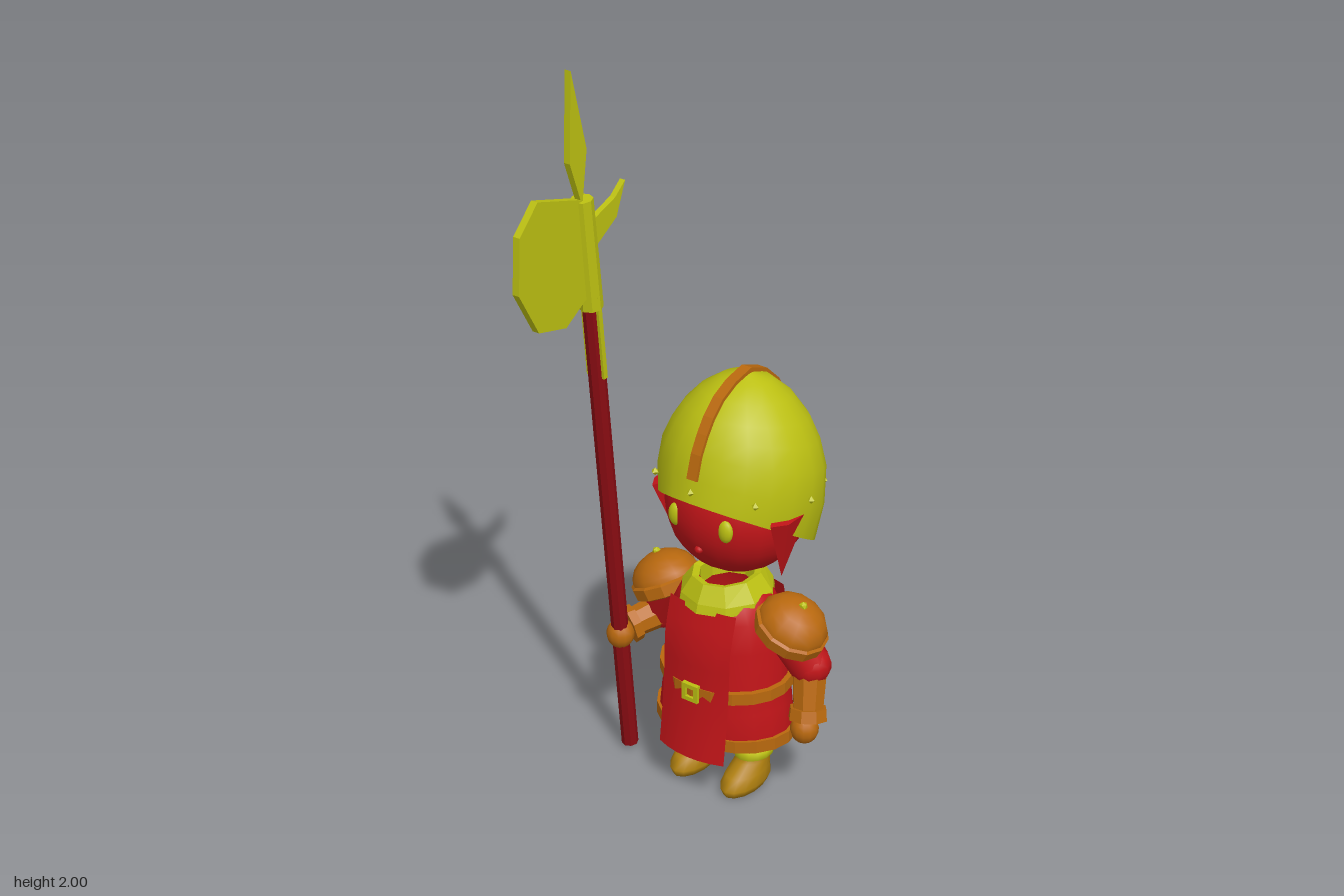
import * as THREE from 'three';

const RED = 0xc01418, DARK_RED = 0x8a0c12, ORANGE = 0xb8680e, YELLOW = 0xbcc012, TAN = 0xb0800f;
const V = (x, y, z) => new THREE.Vector3(x, y, z);

function mesh(parent, name, geo, color, flat = false) {
  const m = new THREE.Mesh(geo, new THREE.MeshStandardMaterial({ color, flatShading: flat, side: THREE.DoubleSide }));
  m.name = name;
  parent.add(m);
  return m;
}

// Skin over elliptical rings [y or y(angle), rx, rz, centreZ], bottom to top
function loft(rings, seg = 16) {
  const pos = [], idx = [];
  for (const [y, rx, rz, cz = -0.1] of rings) {
    for (let j = 0; j < seg; j++) {
      const a = (j / seg) * Math.PI * 2;
      pos.push(rx * Math.sin(a), typeof y === 'function' ? y(a) : y, cz + rz * Math.cos(a));
    }
  }
  for (let i = 0; i < rings.length - 1; i++) {
    for (let j = 0; j < seg; j++) {
      const a = i * seg + j, b = i * seg + (j + 1) % seg;
      idx.push(a, b, b + seg, a, b + seg, a + seg);
    }
  }
  const g = new THREE.BufferGeometry();
  g.setAttribute('position', new THREE.Float32BufferAttribute(pos, 3));
  g.setIndex(idx);
  g.computeVertexNormals();
  return g;
}

// Tapered cylinder from a to b
function limb(parent, name, a, b, r1, r2, color, sides = 10, flat = false) {
  const d = b.clone().sub(a);
  const m = mesh(parent, name, new THREE.CylinderGeometry(r2, r1, d.length(), sides), color, flat);
  m.position.copy(a).add(b).multiplyScalar(0.5);
  m.quaternion.setFromUnitVectors(V(0, 1, 0), d.normalize());
}

function ball(parent, name, p, r, color, s = [1, 1, 1], seg = 12) {
  const m = mesh(parent, name, new THREE.SphereGeometry(r, seg, Math.ceil(seg * 0.7)), color);
  m.position.copy(p);
  m.scale.set(...s);
}

// Flat plate drawn as (z, y) points, with its thickness along x
function plate(points, thick) {
  const g = new THREE.ExtrudeGeometry(new THREE.Shape(points.map(p => new THREE.Vector2(...p))), { depth: thick, bevelEnabled: false });
  return g.translate(0, 0, -thick / 2).rotateY(-Math.PI / 2);
}

// Curved cloth panel following the body, side = 1 front or -1 back
function panel(side) {
  const g = new THREE.PlaneGeometry(0.21, 0.43, 6, 8), p = g.attributes.position;
  const depth = new THREE.CatmullRomCurve3([V(0.18, 0, 0), V(0.165, 0, 0), V(0.155, 0, 0), V(0.15, 0, 0), V(0.12, 0, 0)]);
  for (let i = 0; i < p.count; i++) {
    const x = p.getX(i), t = THREE.MathUtils.clamp(p.getY(i) / 0.43 + 0.5, 0, 1);
    p.setXYZ(i, x, 0.135 + 0.43 * t, -0.1 + side * depth.getPoint(t).x * Math.sqrt(1 - (x / 0.22) ** 2));
  }
  // Keep the back panel facing outwards
  if (side < 0) g.index.array.reverse();
  g.computeVertexNormals();
  return g;
}

// Helmet rings [height fraction, rx, rz, centreZ]; the rim slopes down to the back
const HELMET = [[0, 0.203, 0.202, -0.14], [0.22, 0.219, 0.208, -0.158], [0.44, 0.214, 0.203, -0.172], [0.6, 0.192, 0.184, -0.178],
  [0.73, 0.162, 0.16, -0.18], [0.86, 0.118, 0.118, -0.178], [0.95, 0.066, 0.066, -0.178], [1, 0.001, 0.001, -0.178]];
const helmetY = (s, a) => (1 - s) * (0.767 + 0.122 * Math.cos(a)) + s * 1.17;

function buildHelmet(g) {
  mesh(g, 'helmet', loft(HELMET.map(([s, ...r]) => [a => helmetY(s, a), ...r]), 20), YELLOW);
  // Raised crest from brow to back
  const front = HELMET.slice(1, 7).map(([s, , rz, cz]) => [cz + rz, helmetY(s, 0)]);
  const back = HELMET.slice(2, 7).reverse().map(([s, , rz, cz]) => [cz - rz, helmetY(s, Math.PI)]);
  const line = [...front, [-0.178, 1.17], ...back];
  const grow = k => line.map(([z, y]) => [-0.16 + (z + 0.16) * k, 0.85 + (y - 0.85) * k]);
  mesh(g, 'helmetCrest', plate([...grow(1.03), ...grow(0.97).reverse()], 0.03), ORANGE, true);
  for (const [x, y, z] of [[0, 0.92, 0.06], [0.157, 0.905, 0], [0.223, 0.88, -0.15], [0.157, 0.85, -0.305]]) {
    for (const s of x ? [1, -1] : [1]) {
      mesh(g, 'helmetRivet', new THREE.OctahedronGeometry(0.011), YELLOW, true).position.set(s * x, y, z);
    }
  }
}

function buildHead(g) {
  ball(g, 'head', V(0, 0.815, -0.14), 0.19, RED, [1, 1, 0.95], 20);
  ball(g, 'nose', V(0, 0.74, 0.024), 0.012, RED, [1, 1, 1], 8);
  for (const s of [1, -1]) {
    ball(g, 'eye', V(s * 0.078, 0.815, 0.017), 0.022, YELLOW, [1, 1.45, 0.7]);
    // Hair lock hanging out of the helmet
    const lock = mesh(g, 'hairLock', new THREE.ConeGeometry(0.085, 0.19, 6), RED, true);
    lock.scale.x = 0.35;
    lock.rotation.set(Math.PI, 0, s * 0.12);
    lock.position.set(s * 0.175, 0.75, -0.11);
  }
}

function buildBody(g) {
  mesh(g, 'tunic', loft([[0.17, 0.001, 0.001], [0.165, 0.19, 0.145], [0.2, 0.193, 0.152], [0.27, 0.185, 0.148], [0.33, 0.174, 0.143],
    [0.45, 0.168, 0.138], [0.53, 0.15, 0.125], [0.58, 0.12, 0.11], [0.62, 0.07, 0.08]], 20), RED);
  const band = (name, y0, y1, rx, rz, color) => mesh(g, name,
    loft([[y0, rx - 0.015, rz - 0.015], [y0, rx, rz], [y1, rx, rz], [y1, rx - 0.015, rz - 0.015]], 20), color, true);
  band('hemTrim', 0.165, 0.2, 0.203, 0.157, ORANGE);
  band('belt', 0.312, 0.345, 0.188, 0.16, ORANGE);
  mesh(g, 'frontTabard', panel(1), RED);
  mesh(g, 'backTabard', panel(-1), RED);
  mesh(g, 'collar', loft([[0.555, 0.125, 0.137], [0.58, 0.122, 0.13], [0.627, 0.088, 0.105], [0.622, 0.07, 0.085], [0.57, 0.07, 0.08]], 10), YELLOW, true);

  // Buckle frame with a square opening
  const square = r => [[-r, -r], [r, -r], [r, r], [-r, r]].map(p => new THREE.Vector2(...p));
  const frame = new THREE.Shape(square(0.025));
  frame.holes.push(new THREE.Path(square(0.013)));
  mesh(g, 'buckle', new THREE.ExtrudeGeometry(frame, { depth: 0.014, bevelEnabled: false }), YELLOW, true).position.set(0, 0.328, 0.053);

  // Small strap at the back of the belt
  const strap = mesh(g, 'beltStrap', new THREE.BoxGeometry(0.03, 0.1, 0.02), ORANGE, true);
  strap.position.set(-0.13, 0.285, -0.222);
  strap.rotation.y = 0.6;
}

function buildLegs(g) {
  for (const s of [1, -1]) {
    const leg = new THREE.Group();
    leg.name = s > 0 ? 'leftLeg' : 'rightLeg';
    leg.position.x = s * 0.084;
    g.add(leg);
    limb(leg, 'thigh', V(0, 0.1, -0.11), V(0, 0.22, -0.11), 0.045, 0.05, RED);
    mesh(leg, 'boot', loft([[0, 0.001, 0.001, -0.072], [0.001, 0.043, 0.085, -0.072], [0.022, 0.052, 0.093, -0.072],
      [0.05, 0.047, 0.079, -0.082], [0.075, 0.042, 0.056, -0.105], [0.1, 0.043, 0.053, -0.11],
      [0.128, 0.05, 0.058, -0.112], [0.126, 0.04, 0.045, -0.112]], 14), TAN);
    mesh(leg, 'bootStrap', loft([[0.085, 0.044, 0.055, -0.11], [0.088, 0.051, 0.061, -0.11], [0.106, 0.052, 0.061, -0.11],
      [0.109, 0.044, 0.055, -0.11]], 14), YELLOW);
  }
}

function buildArm(g, s, elbow, wrist, hand) {
  const arm = new THREE.Group();
  arm.name = s > 0 ? 'leftArm' : 'rightArm';
  g.add(arm);
  const shoulder = V(s * 0.165, 0.53, -0.105);
  limb(arm, 'upperSleeve', shoulder, elbow, 0.06, 0.056, RED);
  ball(arm, 'elbow', elbow, 0.056, RED);
  const along = t => elbow.clone().lerp(wrist, t);
  limb(arm, 'bracer', along(0.1), wrist, 0.047, 0.04, ORANGE, 8, true);
  limb(arm, 'bracerRim', along(0.82), along(1.05), 0.05, 0.053, ORANGE, 8, true);
  ball(arm, 'hand', hand, 0.038, ORANGE, [1, 1.1, 1]);

  // Tilted shoulder dome with a rim and a stud
  const pad = new THREE.Group();
  pad.name = 'shoulderGuard';
  pad.position.set(s * 0.202, 0.523, -0.105);
  pad.rotation.z = -s * 0.45;
  arm.add(pad);
  mesh(pad, 'shoulderDome', new THREE.SphereGeometry(1, 12, 5, 0, Math.PI * 2, 0, Math.PI / 2), ORANGE).scale.set(0.098, 0.08, 0.092);
  mesh(pad, 'shoulderRim', loft([[-0.03, 0.088, 0.083, 0], [-0.025, 0.1, 0.095, 0], [0.006, 0.103, 0.098, 0], [0.012, 0.094, 0.089, 0]], 12), ORANGE, true);
  mesh(pad, 'shoulderStud', new THREE.IcosahedronGeometry(0.012), YELLOW, true).position.y = 0.08;
}

function buildPolearm(g) {
  const pole = new THREE.Group();
  pole.name = 'polearm';
  pole.position.x = -0.272;
  g.add(pole);
  // Point on the leaning shaft at height y
  const at = (y, x = 0) => V(x, y, -0.024 + (y - 0.015) * 0.0925);
  limb(pole, 'shaft', at(0.018), at(1.5), 0.023, 0.023, DARK_RED, 8, true);
  limb(pole, 'socket', at(1.37), at(1.665), 0.031, 0.029, YELLOW, 8, true);
  for (const s of [1, -1]) {
    const langet = mesh(pole, 'langet', new THREE.BoxGeometry(0.008, 0.24, 0.014), YELLOW, true);
    langet.position.copy(at(1.295, s * 0.024));
    langet.rotation.x = 0.0922;
  }
  mesh(pole, 'axeBlade', plate([[0.11, 1.655], [0.155, 1.672], [0.302, 1.714], [0.37, 1.645], [0.38, 1.5], [0.312, 1.38],
    [0.21, 1.356], [0.14, 1.4], [0.09, 1.42]], 0.02), YELLOW, true);
  mesh(pole, 'backHook', plate([[0.12, 1.6], [0.085, 1.605], [0.01, 1.632], [-0.03, 1.665], [0.005, 1.58], [0.085, 1.53], [0.12, 1.53]], 0.016), YELLOW, true);
  mesh(pole, 'topSpike', plate([[0.137, 1.65], [0.116, 1.79], [0.168, 1.998], [0.18, 1.77]], 0.018), YELLOW, true);
}

export function createModel() {
  const g = new THREE.Group();
  g.name = 'guard';
  buildHelmet(g);
  buildHead(g);
  buildBody(g);
  buildLegs(g);
  buildArm(g, 1, V(0.245, 0.41, -0.13), V(0.265, 0.275, -0.095), V(0.262, 0.242, -0.085));
  buildArm(g, -1, V(-0.23, 0.41, -0.13), V(-0.277, 0.385, -0.04), V(-0.275, 0.38, 0.006));
  buildPolearm(g);
  return g;
}
